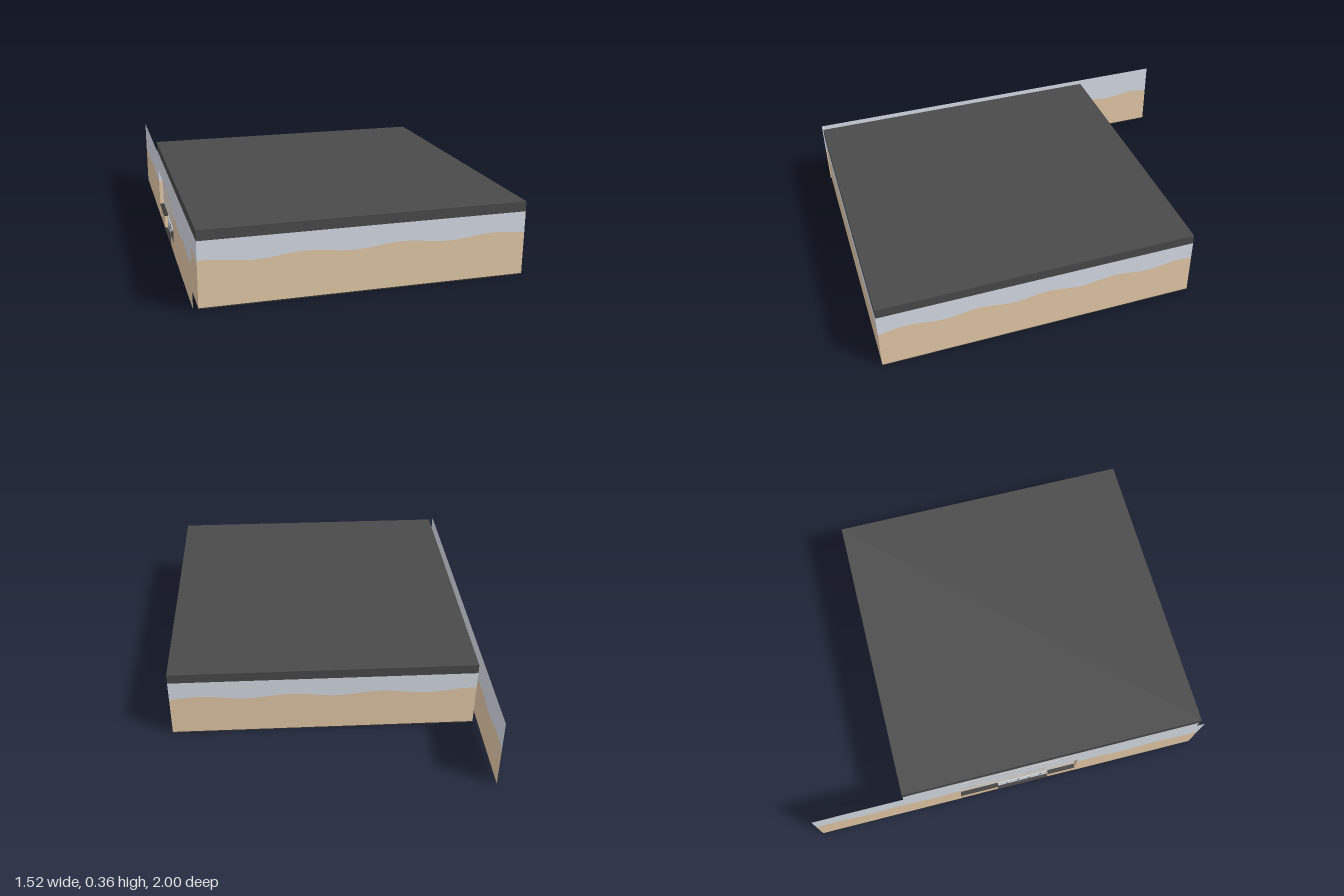
import * as THREE from 'three';

const mat = (name, color, side = THREE.FrontSide) => {
  const m = new THREE.MeshStandardMaterial({ color, side });
  m.name = name;
  return m;
};

export function createModel() {
  const model = new THREE.Group();
  model.name = 'pavilion';

  const sand = mat('sand', 0xe5cba9, THREE.DoubleSide);
  const sky = mat('pale grey blue', 0xd8dde7, THREE.DoubleSide);
  const roofGrey = mat('roof grey', 0x4a4a4a);
  const darkTrim = mat('dark trim', 0x3c3a39, THREE.DoubleSide);
  const underside = mat('underside grey', 0x6b6865);
  const stone = mat('warm stone', 0xe1dad4);
  const ceilingGrey = mat('ceiling grey', 0x8a8784, THREE.DoubleSide);

  // Main dimensions
  const X0 = -0.737, X1 = 0.76, Z0 = -0.55, Z1 = 0.996;
  const WALL_X = -0.76, WALL_H = 0.362;
  const BASE_H = 0.005, ROOF_Y = 0.305, ROOF_TOP = 0.352;
  const R0 = -0.26, R1 = 0.352, R_H = 0.265; // entrance recess

  function box(name, x0, x1, y0, y1, z0, z1, material, parent = model) {
    const mesh = new THREE.Mesh(new THREE.BoxGeometry(x1 - x0, y1 - y0, z1 - z0), material);
    mesh.position.set((x0 + x1) / 2, (y0 + y1) / 2, (z0 + z1) / 2);
    mesh.name = name;
    parent.add(mesh);
  }

  // Flat upright rectangle from u0 to u1, turned about the y axis
  function plate(name, u0, u1, y0, y1, turn, x, z, material, parent = model) {
    const geometry = new THREE.PlaneGeometry(u1 - u0, y1 - y0);
    geometry.translate((u0 + u1) / 2, (y0 + y1) / 2, 0);
    const mesh = new THREE.Mesh(geometry, material);
    mesh.rotation.y = turn;
    mesh.position.set(x, 0, z);
    mesh.name = name;
    parent.add(mesh);
  }

  // Dune line: soft crests above a level of 0.2
  const dunes = (crest, period) => u =>
    0.2 + 0.009 * (1 + Math.cos(((u - crest) / period) * Math.PI * 2));

  // Flat panel between u0 and u1, sand below the dune line and sky above
  function paintedPanel(name, u0, u1, y0, y1, line, turn, x, z) {
    const group = new THREE.Group();
    group.name = name;
    const steps = Math.max(8, Math.round((u1 - u0) * 48));
    const ridge = [];
    for (let i = 0; i <= steps; i++) {
      const u = u0 + ((u1 - u0) * i) / steps;
      ridge.push(new THREE.Vector2(u, line(u)));
    }
    for (const [label, edge, material] of [['Sand', y0, sand], ['Sky', y1, sky]]) {
      const shape = new THREE.Shape([
        ...ridge, new THREE.Vector2(u1, edge), new THREE.Vector2(u0, edge),
      ]);
      const mesh = new THREE.Mesh(new THREE.ShapeGeometry(shape), material);
      mesh.name = name + label;
      group.add(mesh);
    }
    group.rotation.y = turn;
    group.position.set(x, 0, z);
    model.add(group);
  }

  // Base slab (dark rim, lighter underside) and flat roof
  box('baseSlab', X0, X1, 0, BASE_H, Z0, Z1,
    [darkTrim, darkTrim, darkTrim, underside, darkTrim, darkTrim]);
  box('roof', X0, X1, ROOF_Y, ROOF_TOP, Z0, Z1, roofGrey);

  // Four outer walls of the hall
  const acrossX = dunes(-0.27, 0.44), alongZ = dunes(0.86, 0.335);
  paintedPanel('frontWall', X0, X1, BASE_H, ROOF_Y, acrossX, 0, 0, Z1);
  paintedPanel('backWall', -X1, -X0, BASE_H, ROOF_Y, u => acrossX(-u), Math.PI, 0, Z0);
  paintedPanel('leftWall', -Z1, -Z0, BASE_H, ROOF_Y, u => alongZ(-u), Math.PI / 2, X1, 0);
  paintedPanel('rightWall', Z0, Z1, BASE_H, ROOF_Y, alongZ, -Math.PI / 2, X0, 0);

  // Long thin screen wall, open around the entrance recess
  const screenLine = dunes(-0.9, 0.333);
  for (const [name, a, b] of [['screenWallBack', -1, R0], ['screenWallFront', R1, 1]]) {
    paintedPanel(name, a, b, BASE_H, WALL_H, screenLine, -Math.PI / 2, WALL_X, 0);
    plate(name + 'Foot', a, b, 0, BASE_H, -Math.PI / 2, WALL_X, 0, darkTrim);
  }
  plate('screenWallLintel', R0, R1, R_H, WALL_H, -Math.PI / 2, WALL_X, 0, sky);

  // Entrance recess
  const entrance = new THREE.Group();
  entrance.name = 'entrance';
  model.add(entrance);
  const back = X0 - 0.001;
  box('recessBack', back - 0.002, back, 0, R_H, R0, R1, stone, entrance);
  box('recessCeiling', WALL_X, back, R_H - 0.001, R_H, R0, R1, ceilingGrey, entrance);
  box('recessFloor', WALL_X, back, 0, 0.004, R0, R1, darkTrim, entrance);

  // Side faces of the recess, sky above sand
  const flat = () => 0.205;
  paintedPanel('recessBackEnd', WALL_X, back, 0, R_H, flat, 0, 0, R0);
  paintedPanel('recessFrontEnd', -back, -WALL_X, 0, R_H, flat, Math.PI, 0, R1);

  // Low counters with dark tops on both sides of the doorway
  for (const [name, a, b] of [['backCounter', R0, -0.06], ['frontCounter', 0.21, R1]]) {
    box(name, WALL_X + 0.002, back, 0.004, 0.068, a, b, sand, entrance);
    box(name + 'Top', WALL_X, back, 0.068, 0.076, a, b + 0.001, darkTrim, entrance);
  }

  // Doorway plate with slim posts
  box('doorway', back - 0.005, back - 0.002, 0.004, 0.07, -0.06, 0.21, sky, entrance);
  for (let i = 0; i < 4; i++) {
    const z = -0.01 + i * 0.06;
    const top = 0.035 + (i % 2) * 0.03;
    box('doorPost', back - 0.007, back - 0.005, top - 0.025, top, z, z + 0.005, darkTrim, entrance);
  }

  return model;
}
